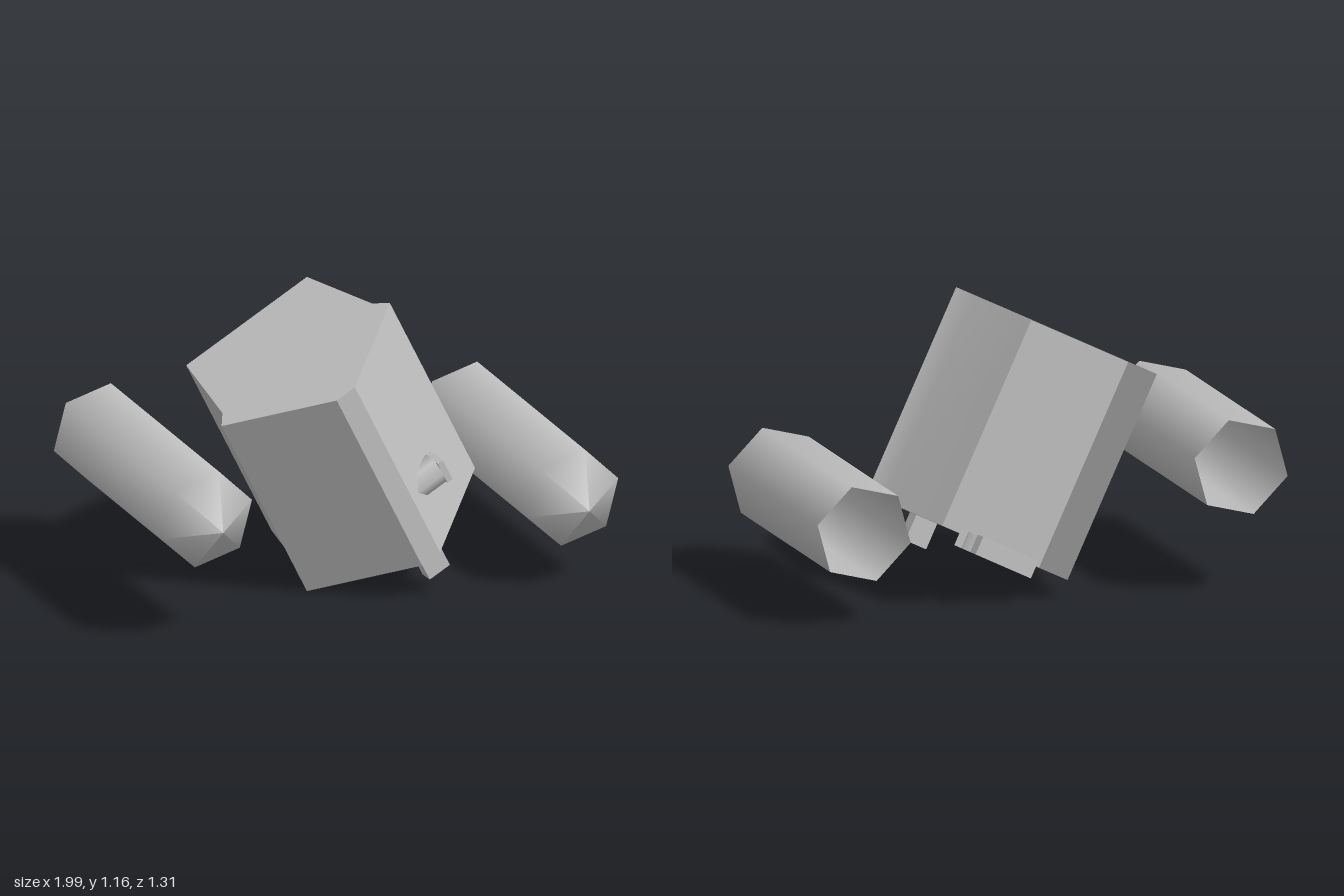
import * as THREE from 'three';

export function createModel() {
  const model = new THREE.Group();
  model.name = 'model';
  const grey = new THREE.MeshStandardMaterial({ color: 0xc0c0c0, side: THREE.DoubleSide });
  grey.name = 'grey';

  const add = (parent, name, geometry, x = 0, y = 0, z = 0) => {
    const mesh = new THREE.Mesh(geometry, grey);
    mesh.name = name;
    mesh.position.set(x, y, z);
    parent.add(mesh);
    return mesh;
  };

  // Tilted hull frame: local x is width, y is height, z is depth
  const hull = new THREE.Group();
  hull.name = 'hull';
  const w = new THREE.Vector3(0.891, 0.454, -0.012).normalize();
  const f = w.clone().cross(new THREE.Vector3(-0.456, 0.889, 0.05)).normalize();
  const u = f.clone().cross(w);
  hull.quaternion.setFromRotationMatrix(new THREE.Matrix4().makeBasis(w, u, f));
  hull.position.set(-0.0275, 0.59, 0.08);
  model.add(hull);

  // Thin shell walls around the cross-section, open at the back
  const H = 0.439;
  const wall = (name, points) => {
    const positions = [], index = [];
    points.forEach(([x, z], i) => {
      positions.push(x, -H, z, x, H, z);
      const a = 2 * i;
      if (i < points.length - 1) index.push(a, a + 1, a + 2, a + 2, a + 1, a + 3);
    });
    const g = new THREE.BufferGeometry();
    g.setAttribute('position', new THREE.Float32BufferAttribute(positions, 3));
    g.setIndex(index);
    g.computeVertexNormals();
    add(hull, name, g);
  };
  const side = [[0.3, -0.475], [0.372, -0.068], [0.418, 0]];
  const ridge = [0.045, 0.322];
  const mirror = ([x, z]) => [-x, z];
  const otherSide = side.map(mirror).reverse();
  wall('leftWall', side);
  wall('leftFrontPanel', [side[2], ridge]);
  wall('frontRidge', [ridge, mirror(ridge)]);
  wall('rightFrontPanel', [mirror(ridge), otherSide[0]]);
  wall('rightWall', otherSide);

  // Roof and floor
  const outline = [...side, ridge, mirror(ridge), ...otherSide];
  const cap = (sign) => new THREE.ShapeGeometry(
    new THREE.Shape(outline.map(([x, z]) => new THREE.Vector2(x, -sign * z)))
  ).rotateX(-sign * Math.PI / 2);
  add(hull, 'roof', cap(1), 0, H, 0);
  add(hull, 'floor', cap(-1), 0, -H, 0);

  // Sensor drum on the front
  const drum = new THREE.CylinderGeometry(0.065, 0.065, 0.122, 6).rotateZ(Math.PI / 2);
  add(hull, 'sensorDrum', drum, 0.154, -0.175, 0.22);
  add(hull, 'sensorPlate', new THREE.BoxGeometry(0.025, 0.1, 0.1), 0.227, -0.175, 0.225);

  // Fittings under the floor
  add(hull, 'frontPeg', new THREE.BoxGeometry(0.1, 0.11, 0.06), 0.02, -0.493, 0.245);
  add(hull, 'rearBar', new THREE.BoxGeometry(0.265, 0.075, 0.05), -0.012, -0.453, -0.46);
  const arc = new THREE.Shape();
  arc.absarc(0, 0, 0.165, 0.2 * Math.PI, 0.8 * Math.PI, false);
  arc.absarc(0, 0, 0.135, 0.8 * Math.PI, 0.2 * Math.PI, true);
  const curve = new THREE.ExtrudeGeometry(arc, { depth: 0.07, bevelEnabled: false, curveSegments: 6 });
  curve.rotateX(Math.PI / 2);
  add(hull, 'curvedRib', curve, -0.01, -0.42, -0.388);

  // Six-sided pods with pointed noses and open tails
  const profile = [[0.2, 0], [0.2, 1.03], [0, 1.187]].map(([x, y]) => new THREE.Vector2(x, y));
  const pod = new THREE.LatheGeometry(profile, 6, 105 * Math.PI / 180).rotateX(Math.PI / 2);
  for (const [name, x, y, z] of [
    ['leftPod', 0.802, 0.382, -0.533],
    ['rightPod', -0.748, 0.53, -0.652],
  ]) add(model, name, pod, x, y, z).rotation.y = -0.053;

  return model;
}
